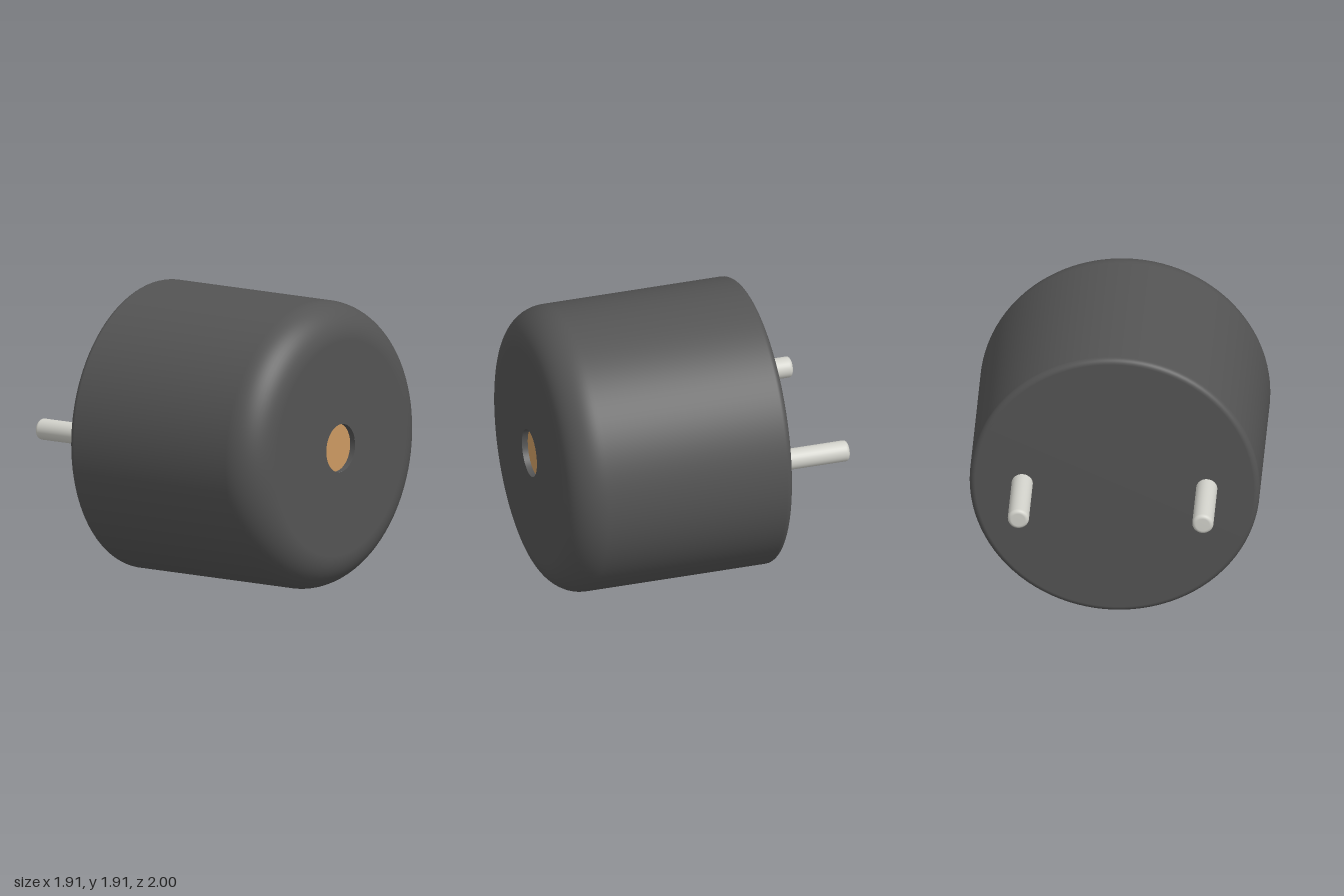
import * as THREE from 'three';

const R = 0.955; // body radius, also the height of its axis
const BACK = -0.515, FRONT = 1;
const HOLE_R = 0.16, HOLE_DEPTH = 0.04;

// Points of a quarter-round edge, profile coordinates (radius, z)
function fillet(cx, cz, r, from, steps) {
  return Array.from({ length: steps + 1 }, (_, i) => {
    const a = from + (i / steps) * Math.PI / 2;
    return new THREE.Vector2(cx + r * Math.cos(a), cz + r * Math.sin(a));
  });
}

// Revolve a (radius, z) profile about the z axis
function turned(name, points, material, segments) {
  const geometry = new THREE.LatheGeometry(points, segments);
  geometry.normalizeNormals();
  geometry.rotateX(Math.PI / 2);
  const mesh = new THREE.Mesh(geometry, material);
  mesh.name = name;
  return mesh;
}

export function createModel() {
  const model = new THREE.Group();
  model.name = 'buzzer';
  const v = (x, y) => new THREE.Vector2(x, y);
  const dark = new THREE.MeshStandardMaterial({ color: 0x545454 });
  const brass = new THREE.MeshStandardMaterial({ color: 0xcc9a62 });
  const metal = new THREE.MeshStandardMaterial({ color: 0xd2d2cb });

  // Housing: small round at the back edge, large round at the front edge
  const back = 0.04, front = 0.24;
  const housing = turned('housing', [
    v(0, BACK),
    ...fillet(R - back, BACK + back, back, -Math.PI / 2, 8),
    ...fillet(R - front, FRONT - front, front, 0, 16),
    v(HOLE_R, FRONT),
  ], dark, 96);

  // Sound hole: dark wall and coloured floor
  const holeWall = turned('soundHoleWall',
    [v(HOLE_R, FRONT), v(HOLE_R, FRONT - HOLE_DEPTH)], dark, 64);
  const diaphragm = new THREE.Mesh(new THREE.CircleGeometry(HOLE_R, 64), brass);
  diaphragm.name = 'diaphragm';
  diaphragm.position.z = FRONT - HOLE_DEPTH;

  model.add(housing, holeWall, diaphragm);

  // Two pins with rounded tips
  const pinR = 0.07, tip = 0.025;
  for (const side of [1, -1]) {
    const pin = turned(side > 0 ? 'leftPin' : 'rightPin', [
      v(0, -1),
      ...fillet(pinR - tip, -1 + tip, tip, -Math.PI / 2, 6),
      v(pinR, BACK),
    ], metal, 32);
    pin.position.x = side * 0.607;
    model.add(pin);
  }

  for (const part of model.children) part.position.y = R;
  return model;
}
